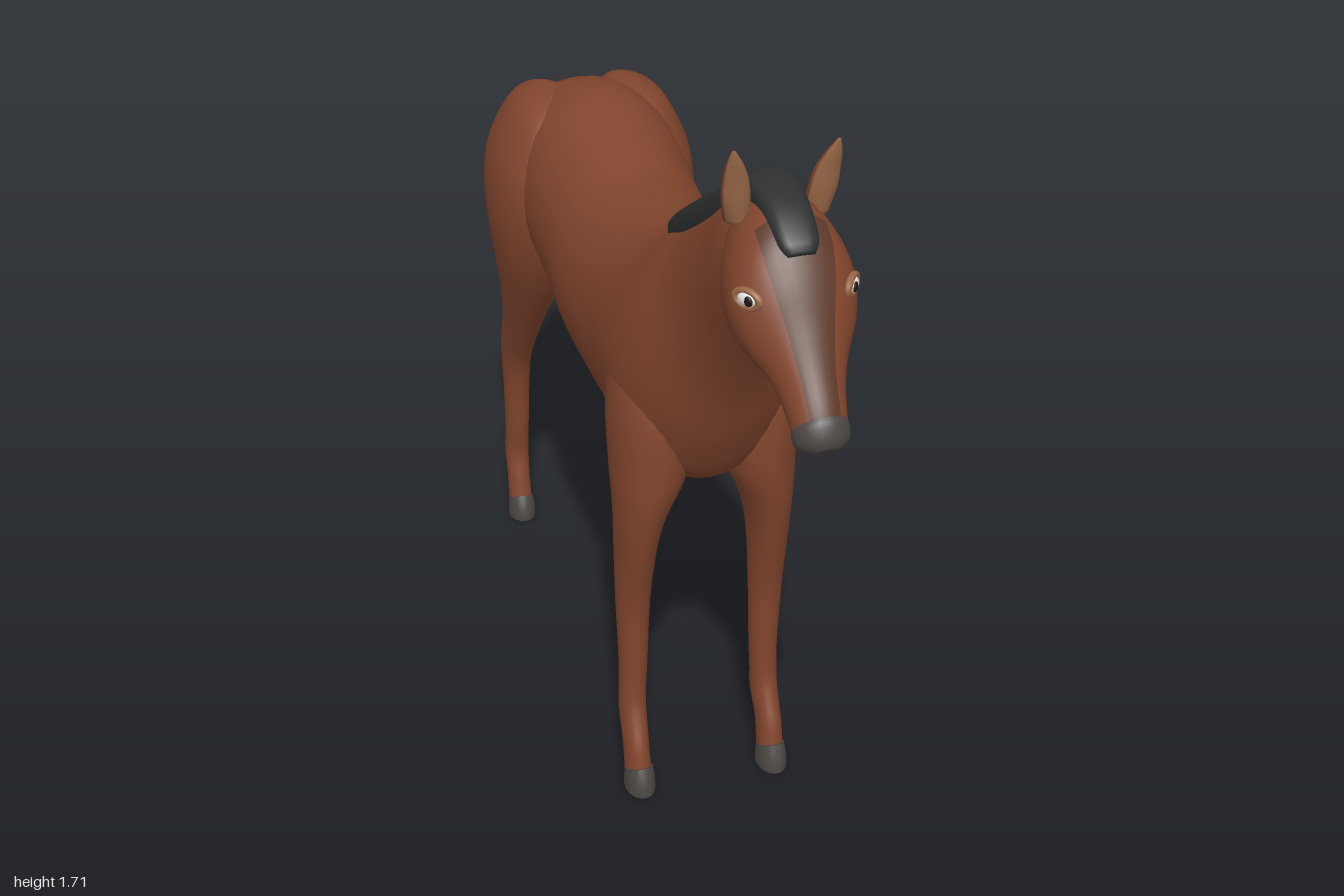
import * as THREE from 'three';
import { toCreasedNormals } from 'three/addons/utils/BufferGeometryUtils.js';

const mat = (name, color) => new THREE.MeshStandardMaterial({ name, color });

// Smooth loft. Each section is [zA, yA, zB, yB, halfWidth, centreX]: an oval spanning A to B.
// pick(t, angle) gives a material slot for each face; angle 0 is at A, t runs 0..1.
// power below 1 makes the oval squarer.
function loft(sections, { seg = 32, sub = 4, power = 1, pick = () => 0 } = {}) {
  const n = sections.length, rows = [];
  const get = (i, k) => sections[Math.min(n - 1, Math.max(0, i))][k] ?? 0;
  for (let i = 0; i < n - 1; i++) {
    for (let s = 0; s < sub || (i === n - 2 && s === sub); s++) {
      const t = s / sub;
      rows.push([0, 1, 2, 3, 4, 5].map((k) => {
        const a = get(i - 1, k), b = get(i, k), c = get(i + 1, k), d = get(i + 2, k);
        return b + 0.5 * t * (c - a + t * (2 * a - 5 * b + 4 * c - d + t * (3 * (b - c) + d - a)));
      }));
    }
  }
  const pos = [], faces = [[], []], m = rows.length;
  const mid = (r) => [r[5], (r[1] + r[3]) / 2, (r[0] + r[2]) / 2];
  const squash = (v) => Math.sign(v) * Math.abs(v) ** power;
  rows.forEach((r) => {
    const [cx, cy, cz] = mid(r);
    for (let j = 0; j < seg; j++) {
      const a = (j / seg) * Math.PI * 2, c = squash(Math.cos(a));
      pos.push(cx + r[4] * squash(Math.sin(a)), cy + c * (r[1] - r[3]) / 2, cz + c * (r[0] - r[2]) / 2);
    }
  });
  pos.push(...mid(rows[0]), ...mid(rows[m - 1]));

  // Turn faces outward whichever way the sections run
  const h = m >> 1, p = mid(rows[h - 1]), q = mid(rows[h + 1]), r = rows[h];
  const flip = (q[1] - p[1]) * (r[0] - r[2]) - (q[2] - p[2]) * (r[1] - r[3]) > 0;
  const tri = (slot, a, b, c) => faces[slot].push(a, ...(flip ? [c, b] : [b, c]));
  for (let j = 0; j < seg; j++) {
    const k = (j + 1) % seg, ang = ((j + 0.5) / seg) * Math.PI * 2;
    const angle = Math.min(ang, Math.PI * 2 - ang);
    for (let i = 0; i < m - 1; i++) {
      const slot = pick((i + 0.5) / (m - 1), angle);
      const a = i * seg + j, b = i * seg + k;
      tri(slot, a, a + seg, b);
      tri(slot, b, a + seg, b + seg);
    }
    tri(pick(0, angle), m * seg, j, k);
    tri(pick(1, angle), m * seg + 1, (m - 1) * seg + k, (m - 1) * seg + j);
  }
  const g = new THREE.BufferGeometry();
  g.setAttribute('position', new THREE.Float32BufferAttribute(pos, 3));
  g.setIndex([...faces[0], ...faces[1]]);
  g.addGroup(0, faces[0].length, 0);
  if (faces[1].length) g.addGroup(faces[0].length, faces[1].length, 1);
  g.computeVertexNormals();
  return g;
}

export function createModel() {
  const coat = mat('chestnutCoat', 0x83462e);
  const face = mat('darkFace', 0x5e3a29);
  const hair = mat('blackHair', 0x2f3031);
  const grey = mat('darkGreyHorn', 0x4c4744);
  const tan = mat('tanSkin', 0x9a6848);
  const white = mat('eyeWhite', 0xe8e4de);
  const dark = mat('pupilBlack', 0x1c1513);
  const model = new THREE.Group();
  model.name = 'horse';
  const add = (name, geometry, material, parent = model) => {
    const mesh = new THREE.Mesh(geometry, material);
    mesh.name = name;
    parent.add(mesh);
    return mesh;
  };

  // Trunk and neck, rump to poll
  add('bodyAndNeck', loft([
    [-0.85, 1.07, -0.845, 0.99, 0.05],
    [-0.82, 1.16, -0.80, 0.90, 0.13],
    [-0.70, 1.235, -0.68, 0.83, 0.185],
    [-0.53, 1.27, -0.53, 0.80, 0.19],
    [-0.35, 1.235, -0.33, 0.765, 0.185],
    [-0.20, 1.21, -0.20, 0.745, 0.19],
    [0.00, 1.23, 0.00, 0.73, 0.185],
    [0.12, 1.26, 0.15, 0.75, 0.19],
    [0.20, 1.30, 0.31, 0.77, 0.188],
    [0.27, 1.345, 0.40, 0.89, 0.165],
    [0.36, 1.405, 0.47, 1.04, 0.122],
    [0.48, 1.49, 0.55, 1.18, 0.098],
    [0.60, 1.57, 0.64, 1.30, 0.088],
    [0.70, 1.585, 0.71, 1.36, 0.07],
  ], { seg: 40 }), coat);

  // Head, with a darker strip down the front of the face
  add('head', loft([
    [0.62, 1.57, 0.62, 1.37, 0.05],
    [0.66, 1.595, 0.645, 1.31, 0.085],
    [0.73, 1.60, 0.70, 1.29, 0.11],
    [0.80, 1.57, 0.77, 1.295, 0.117],
    [0.85, 1.51, 0.82, 1.295, 0.102],
    [0.89, 1.44, 0.85, 1.285, 0.078],
    [0.93, 1.375, 0.88, 1.26, 0.06],
    [0.97, 1.32, 0.905, 1.235, 0.052],
    [0.985, 1.295, 0.92, 1.22, 0.05],
  ], { pick: (t, a) => (t > 0.3 && a < 0.55 ? 1 : 0) }), [coat, face]);
  add('muzzle', loft([
    [0.978, 1.306, 0.912, 1.228, 0.05],
    [0.99, 1.295, 0.925, 1.213, 0.052],
    [1.0, 1.27, 0.945, 1.213, 0.044],
    [1.0, 1.25, 0.975, 1.225, 0.022],
  ], { seg: 24 }), grey);

  // Mane and forelock
  add('mane', loft([
    [0.195, 1.31, 0.205, 1.275, 0.035],
    [0.23, 1.342, 0.27, 1.275, 0.07],
    [0.355, 1.43, 0.395, 1.36, 0.072],
    [0.52, 1.54, 0.555, 1.475, 0.06],
    [0.60, 1.603, 0.625, 1.535, 0.052],
    [0.68, 1.62, 0.68, 1.55, 0.048],
    [0.76, 1.605, 0.735, 1.54, 0.044],
    [0.82, 1.568, 0.79, 1.53, 0.038],
    [0.835, 1.545, 0.815, 1.52, 0.025],
  ], { seg: 24, power: 0.7 }), hair);

  // Tail
  add('tail', loft([
    [-0.78, 1.18, -0.80, 1.12, 0.05],
    [-0.86, 1.175, -0.845, 1.115, 0.054],
    [-0.93, 1.135, -0.88, 1.05, 0.06],
    [-0.98, 1.03, -0.882, 0.97, 0.06],
    [-1.0, 0.90, -0.875, 0.85, 0.056],
    [-0.998, 0.75, -0.878, 0.72, 0.044],
    [-0.993, 0.63, -0.90, 0.62, 0.03],
    [-0.985, 0.53, -0.965, 0.535, 0.01],
  ], { seg: 24, power: 0.75 }), hair);

  // Limb rows: [y, zFront, zBack, xInner, xOuter]
  const limb = (rows, s) => rows.map(([y, f, b, i, o]) => [f, y, b, y, (o - i) / 2, s * (i + o) / 2]);
  const foreleg = [
    [1.16, 0.27, 0.20, 0.07, 0.12],
    [1.08, 0.32, 0.15, 0.04, 0.17],
    [0.95, 0.365, 0.13, 0.03, 0.195],
    [0.80, 0.365, 0.155, 0.035, 0.195],
    [0.70, 0.35, 0.18, 0.078, 0.19],
    [0.60, 0.327, 0.19, 0.10, 0.187],
    [0.45, 0.29, 0.205, 0.11, 0.183],
    [0.30, 0.28, 0.208, 0.115, 0.177],
    [0.21, 0.28, 0.208, 0.119, 0.177],
    [0.16, 0.296, 0.203, 0.12, 0.178],
    [0.10, 0.322, 0.235, 0.123, 0.178],
    [0.02, 0.338, 0.258, 0.122, 0.179],
  ];
  const hindleg = [
    [1.235, -0.60, -0.70, 0.06, 0.12],
    [1.20, -0.525, -0.78, 0.03, 0.175],
    [1.10, -0.47, -0.835, 0.02, 0.225],
    [1.00, -0.455, -0.845, 0.02, 0.24],
    [0.90, -0.48, -0.81, 0.03, 0.235],
    [0.80, -0.53, -0.79, 0.05, 0.22],
    [0.70, -0.60, -0.80, 0.082, 0.203],
    [0.60, -0.675, -0.828, 0.10, 0.192],
    [0.48, -0.755, -0.876, 0.113, 0.186],
    [0.38, -0.79, -0.872, 0.117, 0.181],
    [0.25, -0.805, -0.878, 0.12, 0.178],
    [0.17, -0.817, -0.89, 0.12, 0.178],
    [0.11, -0.805, -0.868, 0.123, 0.178],
    [0.02, -0.787, -0.853, 0.122, 0.179],
  ];
  // Hoof with a coronet sloping down to the heel
  const hoof = (f, b, s) => [
    [f - 0.02, 0.065, b + 0.004, 0.025, 0.03, s * 0.15],
    [f - 0.005, 0.03, b, 0.012, 0.033, s * 0.15],
    [f - 0.002, 0, b, 0, 0.033, s * 0.15],
  ];

  for (const [side, s] of [['left', 1], ['right', -1]]) {
    add(side + 'Foreleg', loft(limb(foreleg, s), { seg: 24 }), coat);
    add(side + 'HindLeg', loft(limb(hindleg, s), { seg: 28 }), coat);
    for (const [name, f, b] of [['ForeHoof', 0.357, 0.257], ['HindHoof', -0.768, -0.856]]) {
      add(side + name, toCreasedNormals(loft(hoof(f, b, s), { seg: 24, sub: 2 }), 0.7), grey);
    }

    // Ear, tan on its front
    add(side + 'Ear', loft(limb([
      [1.55, 0.715, 0.655, 0.05, 0.096],
      [1.60, 0.725, 0.68, 0.053, 0.106],
      [1.64, 0.73, 0.695, 0.06, 0.107],
      [1.675, 0.736, 0.715, 0.074, 0.105],
      [1.705, 0.739, 0.734, 0.092, 0.098],
    ], s), { seg: 20, pick: (t, a) => (a < 1.15 ? 1 : 0) }), [coat, tan]);

    // Eye with lid ring, turned outward and forward
    const eye = new THREE.Group();
    eye.name = side + 'Eye';
    eye.position.set(s * 0.095, 1.467, 0.826);
    eye.rotation.y = s * 0.95;
    model.add(eye);
    add('eyelid', new THREE.TorusGeometry(0.022, 0.007, 8, 24), tan, eye).scale.set(1.15, 0.75, 1);
    add('eyeball', new THREE.SphereGeometry(0.019, 20, 12), white, eye).scale.set(1.1, 0.75, 0.6);
    const pupil = add('pupil', new THREE.SphereGeometry(0.01, 16, 10), dark, eye);
    pupil.position.set(-s * 0.006, 0, 0.007);
    pupil.scale.z = 0.5;
  }
  return model;
}
